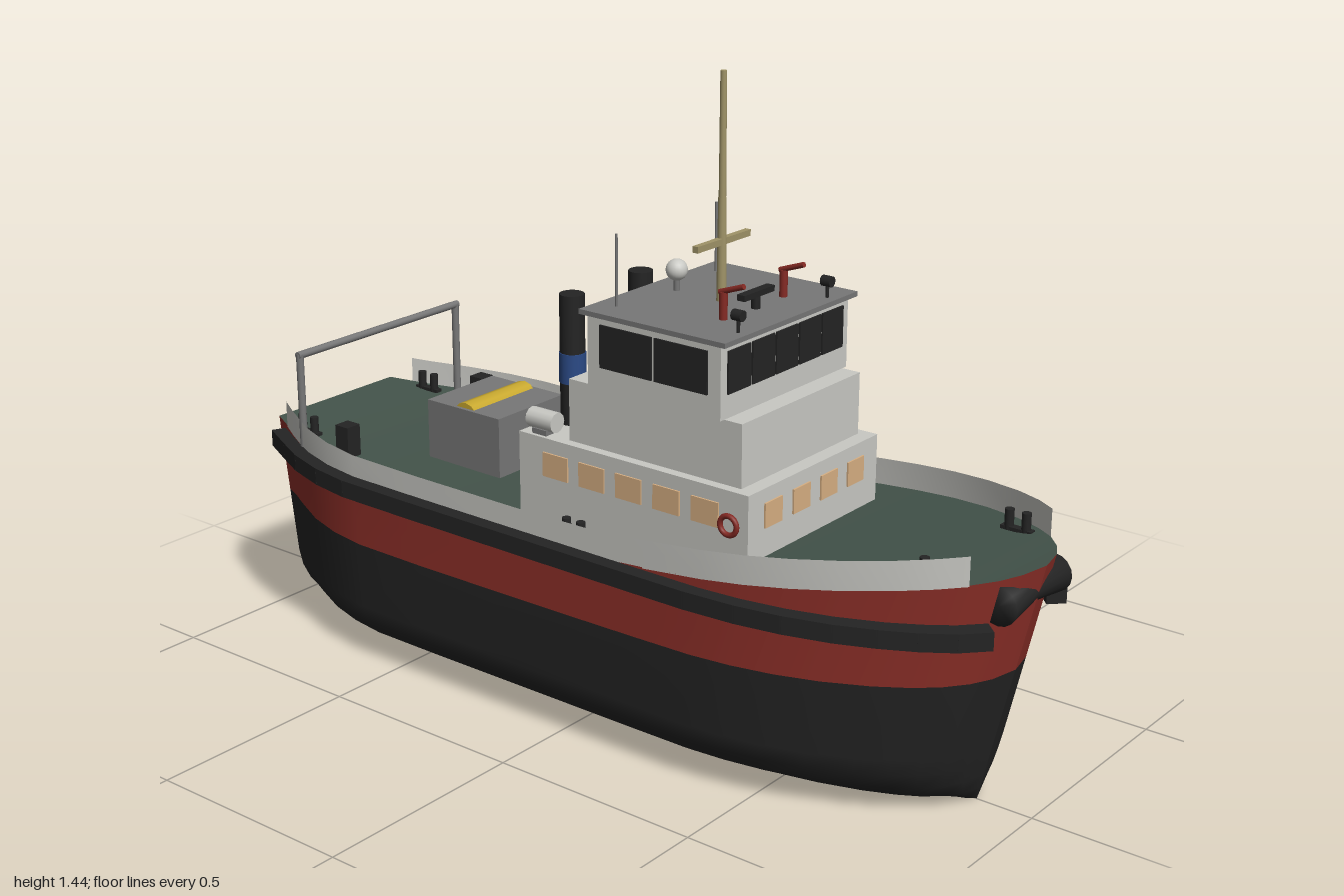
import * as THREE from 'three';

const mat = (name, color) => new THREE.MeshStandardMaterial({ name, color, side: THREE.DoubleSide });

// Stations along the hull: x at deck level, half width, sheer height
const STATIONS = [
  [-1, 0.19, 0.478], [-0.95, 0.212, 0.473], [-0.9, 0.238, 0.467], [-0.8, 0.286, 0.459],
  [-0.7, 0.317, 0.454], [-0.6, 0.333, 0.451], [-0.4, 0.335, 0.449], [-0.1, 0.335, 0.449],
  [0.1, 0.335, 0.453], [0.25, 0.335, 0.466], [0.4, 0.334, 0.483], [0.5, 0.325, 0.495],
  [0.6, 0.307, 0.508], [0.7, 0.278, 0.521], [0.8, 0.236, 0.534], [0.87, 0.196, 0.543],
  [0.92, 0.158, 0.549], [0.96, 0.112, 0.554], [0.985, 0.066, 0.558], [1, 0, 0.56],
];

// Deck half width and sheer at any x
function deckAt(x) {
  let i = 1;
  while (i < STATIONS.length - 1 && STATIONS[i][0] < x) i++;
  const a = STATIONS[i - 1], b = STATIONS[i], t = (x - a[0]) / (b[0] - a[0]);
  return { w: a[1] + (b[1] - a[1]) * t, y: a[2] + (b[2] - a[2]) * t };
}

// Skin stretched over rows of points
function skin(rows) {
  const n = rows[0].length, pos = rows.flat(2), idx = [];
  for (let r = 0; r < rows.length - 1; r++) {
    for (let c = 0; c < n - 1; c++) {
      const a = r * n + c, b = a + n;
      idx.push(a, a + 1, b, b, a + 1, b + 1);
    }
  }
  const g = new THREE.BufferGeometry();
  g.setAttribute('position', new THREE.Float32BufferAttribute(pos, 3));
  g.setIndex(idx);
  g.computeVertexNormals();
  return g;
}

export function createModel() {
  const root = new THREE.Group();
  root.name = 'tugboat';
  const black = mat('black', 0x242424), red = mat('hull red', 0x8f3029);
  const green = mat('deck green', 0x43534a), white = mat('off white', 0xc9c9c4);
  const grey = mat('grey', 0x777777), yellow = mat('yellow', 0xc9a92f);
  const blue = mat('blue', 0x2b4a86), amber = mat('lit window', 0xd8b083);
  const brass = mat('mast tan', 0xa09468), crimson = mat('fitting red', 0x852a24);

  const add = (name, geo, m, x = 0, y = 0, z = 0) => {
    const mesh = new THREE.Mesh(geo, m);
    mesh.name = name;
    mesh.position.set(x, y, z);
    root.add(mesh);
    return mesh;
  };
  const box = (name, m, x0, x1, y0, y1, z0, z1) =>
    add(name, new THREE.BoxGeometry(x1 - x0, y1 - y0, z1 - z0), m, (x0 + x1) / 2, (y0 + y1) / 2, (z0 + z1) / 2);
  const post = (name, m, x, z, y0, y1, r, rTop = r) =>
    add(name, new THREE.CylinderGeometry(rTop, r, y1 - y0, 16), m, x, (y0 + y1) / 2, z);
  const bar = (name, m, a, b, r) => {
    const p = new THREE.Vector3(...a), q = new THREE.Vector3(...b), d = q.clone().sub(p);
    const mesh = add(name, new THREE.CylinderGeometry(r, r, d.length(), 12), m);
    mesh.position.copy(p).add(q).multiplyScalar(0.5);
    mesh.quaternion.setFromUnitVectors(new THREE.Vector3(0, 1, 0), d.normalize());
    return mesh;
  };

  // Hull: raked stem and stern, round bilge
  const hullPoint = ([x, w, sheer], y, frac, side) => {
    const foot = -0.0325 + 0.9025 * x;
    return [foot + (x - foot) * (y / sheer), y, w * frac * side];
  };
  const waterline = (x) => 0.295 + 0.008 * (x + 1) * Math.max(0, x + 0.4);
  const bilge = [[0, 0], [0.2, 0.002], [0.7, 0.03], [0.88, 0.062], [0.97, 0.1], [1, 0.14]];
  const lower = (st, side) => [...bilge, [1, waterline(st[0])]].map(([f, y]) => hullPoint(st, y, f, side));
  const upper = (st, side) => [0, 0.5, 1].map((t) => {
    const y0 = waterline(st[0]);
    return hullPoint(st, y0 + (st[2] - y0) * t, 1, side);
  });
  for (const side of [1, -1]) {
    const order = side > 0 ? STATIONS : [...STATIONS].reverse();
    const tag = side > 0 ? 'Front' : 'Back';
    add('lowerHull' + tag, skin(order.map((s) => lower(s, side)).reverse()), black);
    add('upperHull' + tag, skin(order.map((s) => upper(s, side)).reverse()), red);
  }
  const stern = STATIONS[0];
  const transom = (fn) => skin(fn(stern, 1).map((p, i) => [fn(stern, -1)[i], p]));
  add('lowerTransom', transom(lower), black);
  add('upperTransom', transom(upper), red);
  add('deck', skin(STATIONS.map(([x, w, y]) => [[x, y, -w], [x, y, w]])), green);

  // Bulwarks and segmented rubbing fenders along both sides
  const rail = [-0.945, ...STATIONS.map((s) => s[0]).filter((x) => x > -0.94 && x < 0.91), 0.92];
  const fenderX = [-0.965, -0.88, -0.8, -0.7, -0.6, -0.4, -0.2, 0, 0.2, 0.38, 0.5, 0.6, 0.7, 0.78, 0.85, 0.91, 0.955];
  for (const side of [1, -1]) {
    add('bulwark', skin(rail.map((x) => {
      const { w, y } = deckAt(x);
      return [[x, y - 0.003, side * w], [x, y + 0.061, side * w]];
    })), white);
    for (let i = 0; i < fenderX.length - 1; i++) {
      const a = fenderX[i], b = fenderX[i + 1];
      const za = deckAt(a).w + 0.014, zb = deckAt(b).w + 0.014;
      const seg = add('sideFender', new THREE.BoxGeometry(Math.hypot(b - a, zb - za) + 0.006, 0.04, 0.042), black,
        (a + b) / 2, 0.44, side * (za + zb) / 2);
      seg.rotation.y = -side * Math.atan2(zb - za, b - a);
    }
  }

  // Waisted bow fender
  const bowProfile = [[0, -0.108], [0.042, -0.108], [0.028, 0], [0.042, 0.108], [0, 0.108]];
  const bowFender = add('bowFender',
    new THREE.LatheGeometry(bowProfile.map((p) => new THREE.Vector2(...p)), 16), black, 0.958, 0.498, 0);
  bowFender.rotation.x = Math.PI / 2;

  // Deckhouse tiers and roof
  box('lowerHouse', white, -0.175, 0.445, 0.44, 0.64, -0.235, 0.235);
  box('middleHouse', white, -0.05, 0.41, 0.64, 0.78, -0.212, 0.212);
  box('wheelhouse', white, 0.015, 0.365, 0.78, 0.94, -0.226, 0.226);
  box('roof', grey, 0, 0.382, 0.94, 0.951, -0.236, 0.236);

  // Windows
  for (let i = 0; i < 5; i++) {
    const z = (i - 2) * 0.083;
    box('wheelhouseFrontWindow', black, 0.363, 0.369, 0.832, 0.924, z - 0.0385, z + 0.0385);
  }
  for (let i = 0; i < 4; i++) {
    const z = (i - 1.5) * 0.1;
    box('cabinFrontWindow', amber, 0.443, 0.449, 0.553, 0.608, z - 0.03, z + 0.03);
  }
  for (const s of [1, -1]) {
    for (const x of [0.05, 0.195]) {
      const z = s * 0.227;
      box('wheelhouseSideWindow', black, x, x + 0.138, 0.83, 0.924, z - 0.003, z + 0.003);
    }
    for (let i = 0; i < 5; i++) {
      const x = -0.07 + i * 0.1015, z = s * 0.236;
      box('cabinSideWindow', amber, x - 0.035, x + 0.035, 0.553, 0.608, z - 0.003, z + 0.003);
    }
    add('lifeRing', new THREE.TorusGeometry(0.021, 0.006, 10, 24), crimson, 0.4, 0.567, s * 0.242);

    // Funnels and raft canisters
    post('funnel', black, -0.12, s * 0.118, 0.64, 0.935, 0.028);
    post('funnelBand', blue, -0.12, s * 0.118, 0.735, 0.803, 0.03);
    bar('raftCanister', white, [-0.16, 0.67, s * 0.208], [-0.088, 0.67, s * 0.208], 0.023);
    box('canisterCradle', grey, -0.145, -0.105, 0.64, 0.652, s * 0.208 - 0.018, s * 0.208 + 0.018);

    // Roof fittings
    post('monitorBase', crimson, 0.28, s * 0.106, 0.95, 1.01, 0.009);
    bar('monitorBarrel', crimson, [0.27, 1.008, s * 0.106], [0.332, 1.03, s * 0.106], 0.006);
    post('whipAntenna', grey, 0.05, s * 0.172, 0.95, 1.108, 0.003);
    post('searchlightPost', black, 0.357, s * 0.158, 0.95, 0.985, 0.004);
    bar('searchlight', black, [0.345, 0.987, s * 0.158], [0.369, 0.987, s * 0.158], 0.012);

    // Stern arch posts and deck bollards
    post('archPost', grey, -0.835, s * 0.263, 0.455, 0.688, 0.009);
    box('capstan', black, -0.74, -0.7, 0.45, 0.53, s * 0.23 - 0.02, s * 0.23 + 0.02);
    for (const [x, z] of [[-0.88, 0.205], [0.02, 0.283], [0.84, 0.163]]) {
      const y = deckAt(x).y;
      box('bollardBase', black, x - 0.036, x + 0.036, y, y + 0.008, s * z - 0.009, s * z + 0.009);
      for (const d of [-0.02, 0.02]) post('bollard', black, x + d, s * z, y, y + 0.045, 0.01);
    }
  }
  bar('archBeam', grey, [-0.835, 0.685, -0.27], [-0.835, 0.685, 0.27], 0.009);

  // Towing winch housing
  box('winchHousing', grey, -0.572, -0.35, 0.44, 0.592, -0.111, 0.111);
  bar('winchDrum', yellow, [-0.461, 0.568, -0.102], [-0.461, 0.568, 0.102], 0.037);

  // Mast, radar and dome
  post('mastLower', brass, 0.195, 0, 0.95, 1.175, 0.011, 0.009);
  post('mastUpper', brass, 0.195, 0, 1.17, 1.442, 0.008, 0.007);
  box('crosstree', brass, 0.188, 0.202, 1.074, 1.088, -0.092, 0.092);
  post('radarPost', black, 0.285, 0, 0.95, 0.985, 0.01);
  box('radarBar', black, 0.275, 0.295, 0.978, 0.991, -0.053, 0.053);
  post('domePost', grey, 0.075, 0, 0.95, 0.985, 0.007);
  add('dome', new THREE.SphereGeometry(0.024, 20, 14), white, 0.075, 0.997, 0);

  return root;
}
